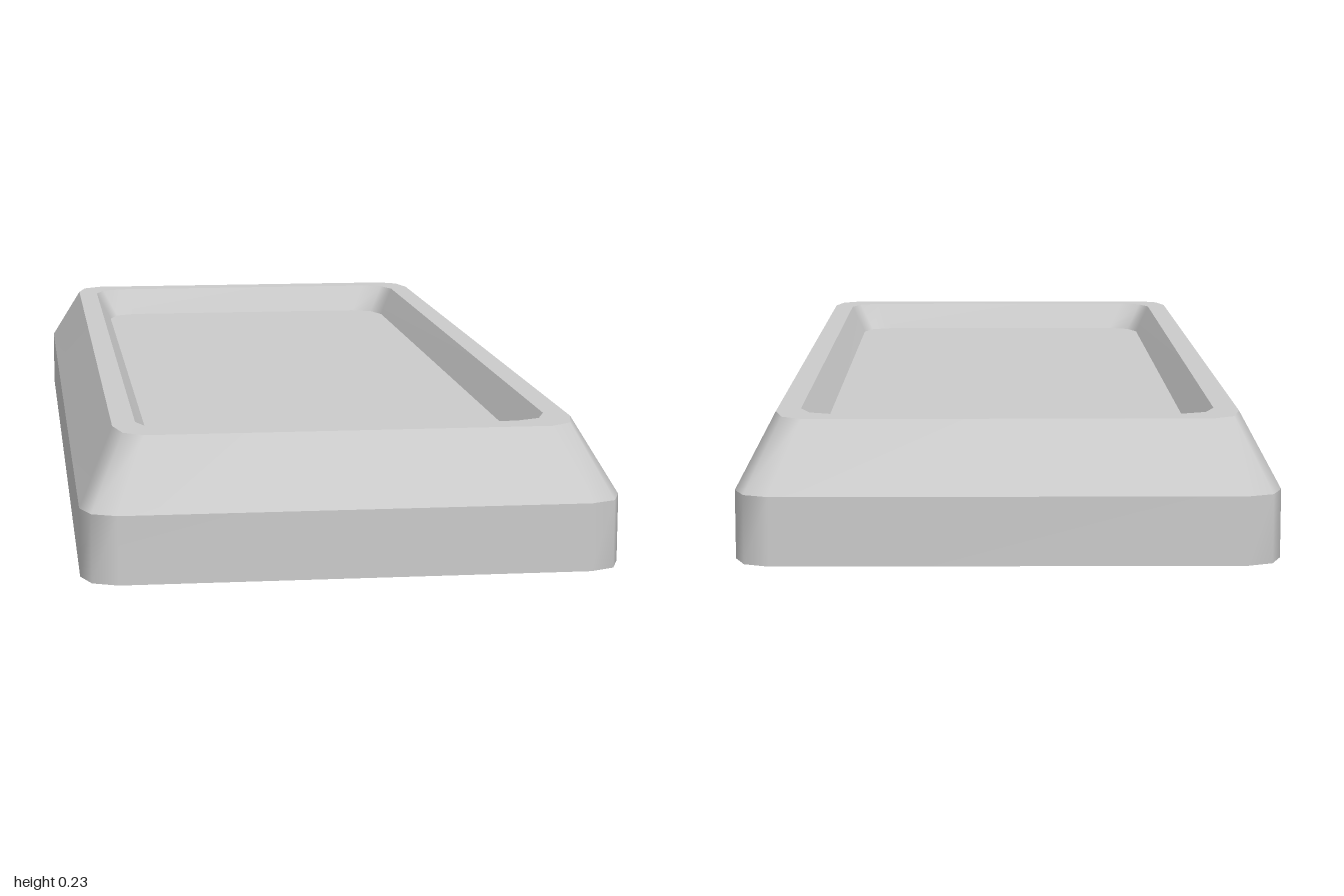
import * as THREE from 'three';

// Rounded rectangle: half sizes x/z, height y, corner radii rx/rz, two segments per corner
function ring({ x, z, y, rx, rz }) {
  const points = [];
  for (const [sx, sz, start] of [[1, 1, 0], [-1, 1, 1], [-1, -1, 2], [1, -1, 3]]) {
    for (let k = 0; k <= 2; k++) {
      const a = (start + k / 2) * Math.PI / 2;
      points.push([sx * (x - rx) + rx * Math.cos(a), y, sz * (z - rz) + rz * Math.sin(a)]);
    }
  }
  return points;
}

// Closed strip between two rings, smooth around the corners
function band(from, to) {
  const a = ring(from), b = ring(to), n = a.length, index = [];
  for (let i = 0; i < n; i++) {
    const j = (i + 1) % n;
    index.push(i, n + i, j, j, n + i, n + j);
  }
  const geometry = new THREE.BufferGeometry();
  geometry.setAttribute('position', new THREE.Float32BufferAttribute([...a, ...b].flat(), 3));
  geometry.setIndex(index);
  geometry.computeVertexNormals();
  return geometry;
}

export function createModel() {
  const model = new THREE.Group();
  model.name = 'tray';
  const material = new THREE.MeshStandardMaterial({ color: 0xcccccc, side: THREE.DoubleSide });
  const add = (name, geometry) => {
    const mesh = new THREE.Mesh(geometry, material);
    mesh.name = name;
    model.add(mesh);
    return mesh;
  };

  // Cross-sections from the open underside, over the rim and down into the recess
  const sections = [
    { x: 0.45, z: 1, y: 0, rx: 0.06, rz: 0.065 },
    { x: 0.45, z: 1, y: 0.115, rx: 0.06, rz: 0.065 },
    { x: 0.39, z: 0.917, y: 0.23, rx: 0.05, rz: 0.085 },
    { x: 0.35, z: 0.865, y: 0.23, rx: 0.06, rz: 0.065 },
    { x: 0.32, z: 0.833, y: 0.175, rx: 0.06, rz: 0.07 },
  ];
  ['outerWall', 'outerBevel', 'topRim', 'recessWall'].forEach((name, i) =>
    add(name, band(sections[i], sections[i + 1])));

  // Square-cornered floor panel, reaching a little under the recess wall
  const floor = add('recessFloor', new THREE.PlaneGeometry(0.7, 1.73).rotateX(-Math.PI / 2));
  floor.position.y = 0.175;

  return model;
}
